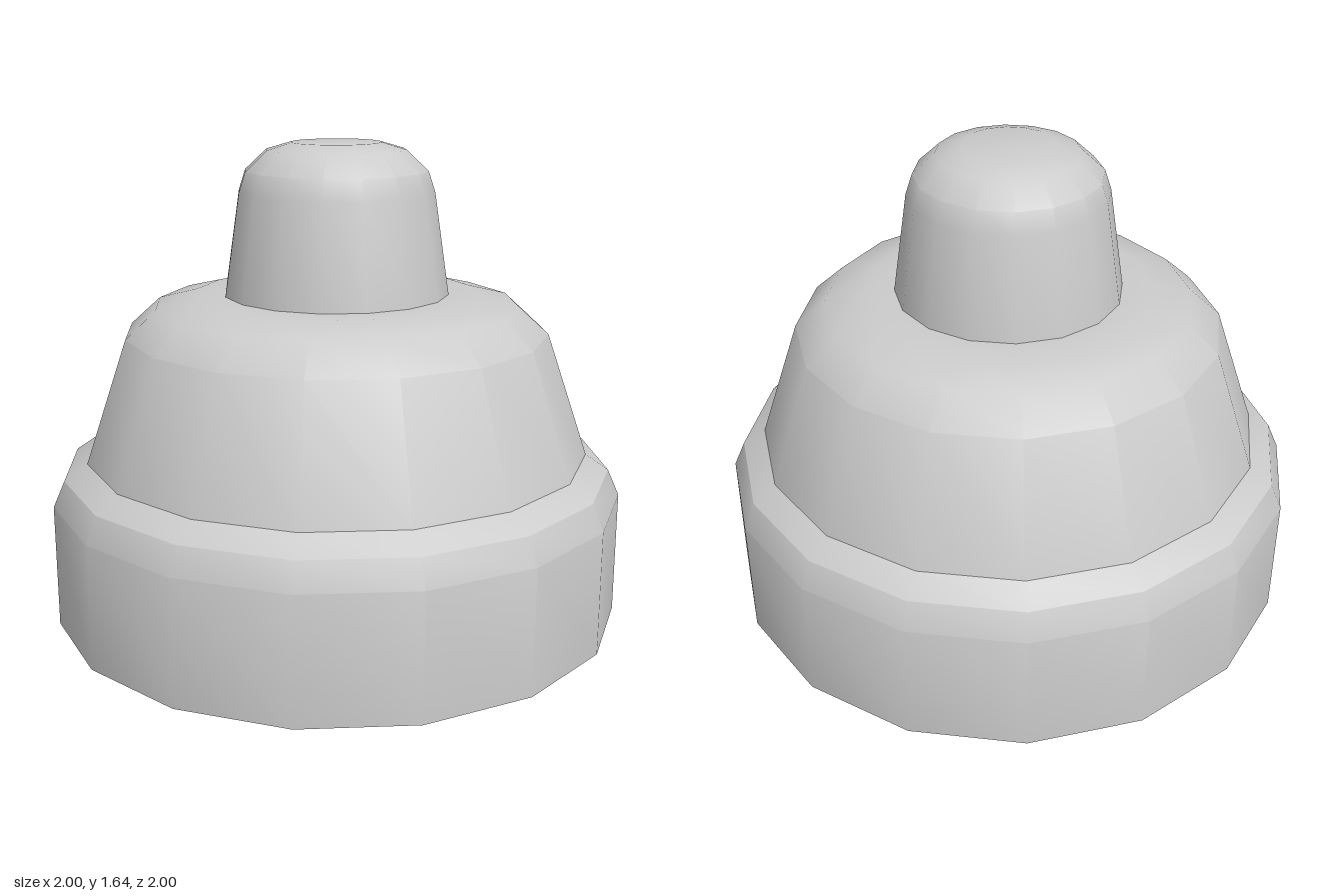
import * as THREE from 'three';
import { toCreasedNormals } from 'three/addons/utils/BufferGeometryUtils.js';

const SIDES = 16;
const CREASE = 0.53;
const material = new THREE.MeshStandardMaterial({ color: 0xcccccc });

// Turn a [radius, height] profile around y; an upward profile faces outward
function turned(name, profile) {
  const points = profile.map(([r, y]) => new THREE.Vector2(r, y));
  const geometry = toCreasedNormals(new THREE.LatheGeometry(points, SIDES), CREASE);
  const mesh = new THREE.Mesh(geometry, material);
  mesh.name = name;
  return mesh;
}

export function createModel() {
  const model = new THREE.Group();
  model.name = 'steppedCap';

  // Wide collar: down the inner wall, across the bottom rim, up the outside
  model.add(turned('baseCollar', [
    [0.8, 0.52], [0.88, 0.47], [0.915, 0.4], [0.915, 0],
    [1, 0], [1, 0.43], [0.96, 0.52], [0.88, 0.575],
  ]));

  // Tapered shoulder, rounded over at the top, with its hollow inside
  const shoulder = new THREE.Group();
  shoulder.name = 'shoulder';
  shoulder.add(
    turned('shoulderOutside', [[0.88, 0.575], [0.735, 1], [0.63, 1.095], [0.49, 1.13], [0.39, 1.13]]),
    turned('shoulderInside', [[0.31, 1.05], [0.47, 1.05], [0.58, 1.02], [0.66, 0.95], [0.8, 0.52]]),
  );
  model.add(shoulder);

  // Narrow domed tip, also hollow
  const tip = new THREE.Group();
  tip.name = 'tip';
  tip.add(
    turned('tipOutside', [[0.39, 1.13], [0.338, 1.48], [0.315, 1.55], [0.24, 1.62], [0.155, 1.645], [0, 1.645]]),
    turned('tipInside', [[0, 1.56], [0.14, 1.56], [0.195, 1.54], [0.24, 1.5], [0.255, 1.46], [0.31, 1.05]]),
  );
  model.add(tip);

  return model;
}
